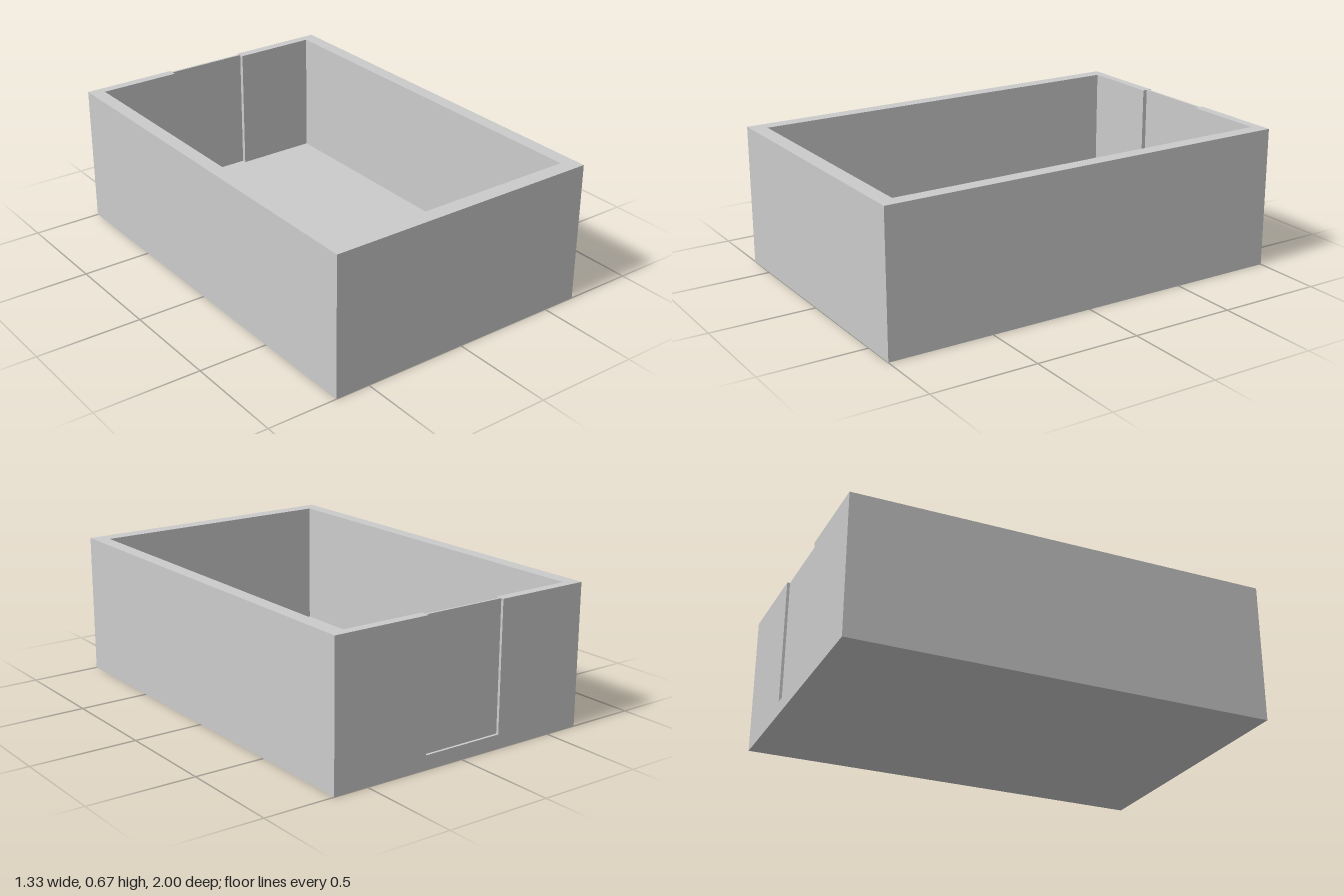
import * as THREE from 'three';

const W = 0.667, D = 1, H = 0.667, FLOOR = 0.065;
const NOTCH = [-0.207, 0.197]; // x range of the thin panel in the back wall

// Rectangle outline whose back edge steps from zBack to zNotch across the panel
function outline(Type, halfW, zFront, zBack, zNotch) {
  const [a, b] = NOTCH;
  // shape y is -z, so that the extrusion can be turned upright
  return new Type([
    [-halfW, zFront], [halfW, zFront], [halfW, zBack],
    [b, zBack], [b, zNotch], [a, zNotch], [a, zBack], [-halfW, zBack],
  ].map(([x, z]) => new THREE.Vector2(x, -z)));
}

export function createModel() {
  const group = new THREE.Group();
  const material = new THREE.MeshStandardMaterial({ color: 0xcccccc, flatShading: true });

  // Solid floor
  const floor = new THREE.Mesh(new THREE.BoxGeometry(2 * W, FLOOR, 2 * D), material);
  floor.position.y = FLOOR / 2;
  floor.name = 'floor';

  // Four walls, the back one recessed on both faces to leave a thin panel
  const shape = outline(THREE.Shape, W, D, -D, -0.987);
  shape.holes.push(outline(THREE.Path, 0.6, 0.927, -0.955, -0.976));
  const geometry = new THREE.ExtrudeGeometry(shape, { depth: H - FLOOR, bevelEnabled: false });
  geometry.rotateX(-Math.PI / 2);
  const walls = new THREE.Mesh(geometry, material);
  walls.position.y = FLOOR;
  walls.name = 'walls';

  group.add(floor, walls);
  return group;
}
